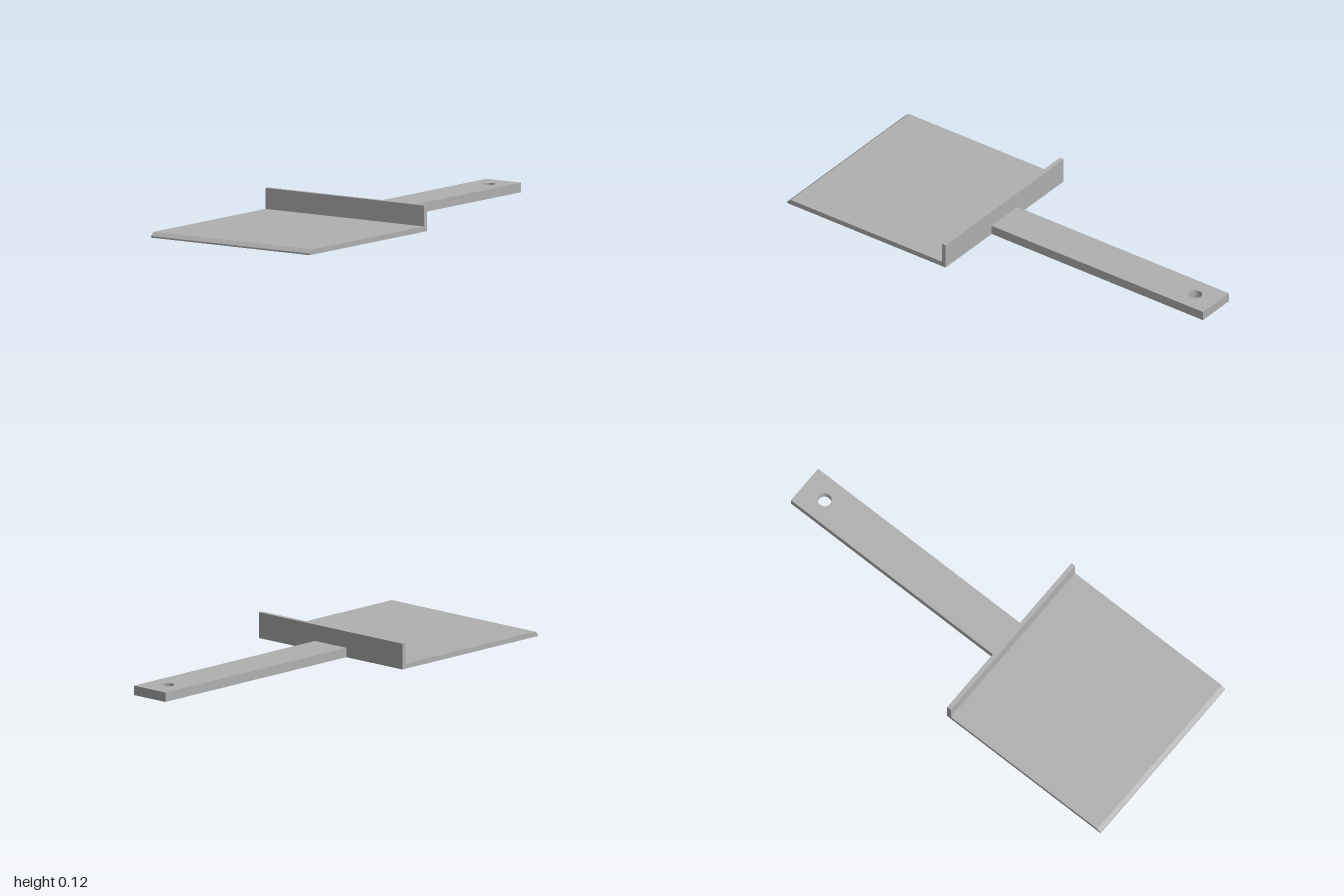
import * as THREE from 'three';
import { toCreasedNormals } from 'three/addons/utils/BufferGeometryUtils.js';

const WIDTH = 0.854;      // blade and guard
const HANDLE_W = 0.187;
const HANDLE_H = 0.042;
const GUARD_BACK = 0.143;

function extrude(shape, depth) {
  return new THREE.ExtrudeGeometry(shape, { depth, bevelEnabled: false, curveSegments: 32 });
}

// Extrudes a (z, y) side profile across the width, centred on x = 0
function acrossWidth(points) {
  const shape = new THREE.Shape(points.map(([z, y]) => new THREE.Vector2(z, y)));
  return extrude(shape, WIDTH).translate(0, 0, -WIDTH / 2).rotateY(-Math.PI / 2);
}

export function createModel() {
  const group = new THREE.Group();
  const steel = new THREE.MeshStandardMaterial({ color: 0xb0b0b0 });
  steel.name = 'greySteel';

  function add(name, geometry) {
    const mesh = new THREE.Mesh(geometry, steel);
    mesh.name = name;
    group.add(mesh);
  }

  // Flat blade with bevelled front lip, and upright guard, bent from one sheet
  add('bladeAndGuard', acrossWidth([
    [GUARD_BACK, 0], [1, 0], [1, 0.007], [0.981, 0.023],
    [0.163, 0.023], [0.163, 0.115], [GUARD_BACK, 0.115],
  ]));

  // Flat handle with a round hanging hole near its end
  const h = HANDLE_W / 2;
  const outline = new THREE.Shape([
    new THREE.Vector2(-h, -GUARD_BACK), new THREE.Vector2(h, -GUARD_BACK),
    new THREE.Vector2(h, 1), new THREE.Vector2(-h, 1),
  ]);
  const hole = new THREE.Path();
  hole.absarc(0, 0.888, 0.03, 0, Math.PI * 2, true);
  outline.holes.push(hole);
  add('handle', toCreasedNormals(extrude(outline, HANDLE_H).rotateX(-Math.PI / 2), 0.6));

  return group;
}
